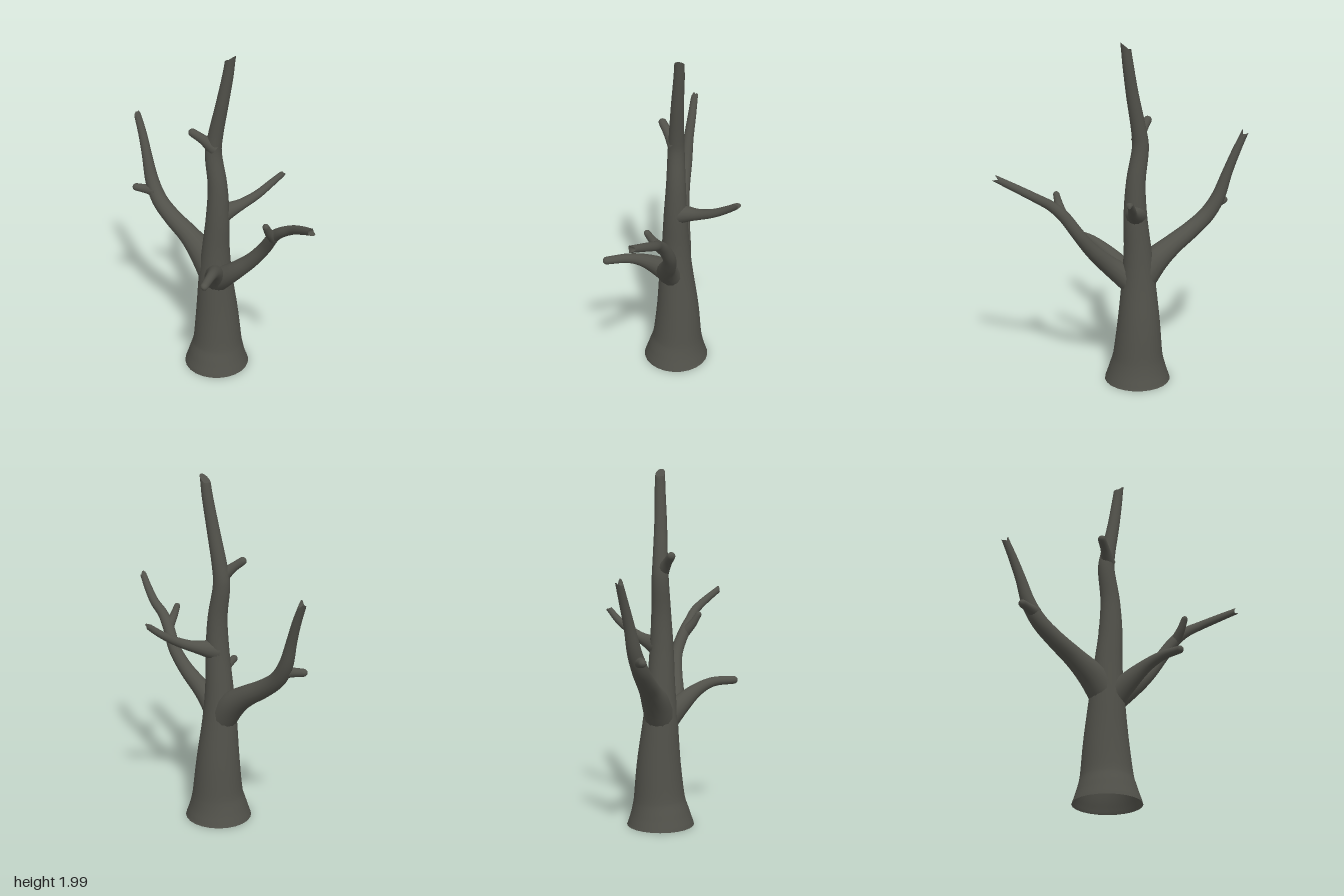
import * as THREE from 'three';

const bark = new THREE.MeshStandardMaterial({ color: 0x51514a, side: THREE.DoubleSide });
bark.name = 'dark bark';

// Tapered limb along a smooth path of [x, y, z, radius] points.
// end: 'round' dome, 'broken' splintered tip, or 'slant' oblique break.
function limb(name, pts, end, sides = 14, perSegment = 5) {
  const curve = new THREE.CatmullRomCurve3(pts.map(p => new THREE.Vector3(p[0], p[1], p[2])));
  const radii = new THREE.CatmullRomCurve3(pts.map((p, i) => new THREE.Vector3(i, p[3], 0)), false, 'catmullrom', 0.5);
  const pos = [], idx = [];
  const steps = (pts.length - 1) * perSegment;
  const N = new THREE.Vector3(), B = new THREE.Vector3(), T = new THREE.Vector3(), v = new THREE.Vector3();
  let rings = 0;

  const heights = {
    round: () => 0,
    broken: a => 0.75 * Math.cos(2 * a + 0.6) + 0.3 * Math.cos(3 * a),
    slant: a => 1.15 * Math.cos(a),
  };
  const ring = (c, r, lift, shape) => {
    for (let k = 0; k < sides; k++) {
      const a = k / sides * Math.PI * 2;
      v.copy(c).addScaledVector(N, r * Math.cos(a)).addScaledVector(B, r * Math.sin(a));
      v.addScaledVector(T, lift + (shape ? shape(a) : 0));
      pos.push(v.x, Math.max(v.y, 0), v.z);
    }
    rings++;
  };

  let c, r;
  for (let i = 0; i <= steps; i++) {
    const t = i / steps;
    c = curve.getPoint(t);
    r = radii.getPoint(t).y;
    T.copy(curve.getTangent(t));
    if (i === 0) {
      if (pts[0][1] === 0) T.set(0, 1, 0);
      N.set(Math.abs(T.x) < 0.8 ? 1 : 0, 0, Math.abs(T.x) < 0.8 ? 0 : 1);
    }
    N.addScaledVector(T, -N.dot(T)).normalize();
    B.crossVectors(T, N);
    ring(c, r, 0, i === steps ? a => r * heights[end](a) : null);
  }
  if (end === 'round') {
    for (let j = 1; j <= 4; j++) {
      const q = j / 4.3 * Math.PI / 2;
      ring(c, r * Math.cos(q), r * Math.sin(q));
    }
  }
  for (let i = 0; i < rings - 1; i++) {
    for (let k = 0; k < sides; k++) {
      const n = (k + 1) % sides, a = i * sides, b = a + sides;
      idx.push(a + k, a + n, b + k, a + n, b + n, b + k);
    }
  }
  // Closing cap on its own vertices, so the break keeps a sharp rim
  const rim = (rings - 1) * sides, cap = pos.length / 3;
  for (let k = 0; k < sides * 3; k++) pos.push(pos[rim * 3 + k]);
  v.copy(c).addScaledVector(T, end === 'round' ? r : end === 'broken' ? -0.6 * r : 0);
  pos.push(v.x, v.y, v.z);
  for (let k = 0; k < sides; k++) idx.push(cap + k, cap + (k + 1) % sides, cap + sides);

  const geo = new THREE.BufferGeometry();
  geo.setAttribute('position', new THREE.Float32BufferAttribute(pos, 3));
  geo.setIndex(idx);
  geo.computeVertexNormals();
  const mesh = new THREE.Mesh(geo, bark);
  mesh.name = name;
  return mesh;
}

export function createModel() {
  const tree = new THREE.Group();
  tree.name = 'bareTree';

  // Trunk, open underneath, flared at the root and broken off at the top
  tree.add(limb('trunk', [
    [-0.07, 0, -0.013, 0.19], [-0.07, 0.06, -0.015, 0.17], [-0.07, 0.15, -0.02, 0.145],
    [-0.074, 0.35, -0.022, 0.124], [-0.076, 0.6, -0.012, 0.098], [-0.07, 0.8, -0.01, 0.079],
    [-0.056, 1.0, -0.01, 0.067], [-0.058, 1.2, -0.012, 0.055], [-0.086, 1.4, -0.01, 0.047],
    [-0.073, 1.5, -0.013, 0.042], [-0.032, 1.7, -0.022, 0.035], [0.0, 1.88, -0.034, 0.03],
    [0.012, 1.965, -0.037, 0.027],
  ], 'slant', 24));

  // Large limb on the right-hand side, with its stub
  tree.add(limb('rightBranch', [
    [-0.085, 0.6, -0.01, 0.085], [-0.17, 0.71, -0.012, 0.078], [-0.28, 0.795, -0.012, 0.06],
    [-0.4, 0.87, -0.005, 0.051], [-0.5, 0.95, -0.005, 0.046], [-0.565, 1.05, -0.015, 0.04],
    [-0.612, 1.19, -0.028, 0.03], [-0.655, 1.31, -0.042, 0.025], [-0.704, 1.425, -0.053, 0.02],
  ], 'broken'));
  tree.add(limb('rightStub', [
    [-0.53, 1.0, -0.005, 0.038], [-0.58, 1.005, 0.02, 0.027], [-0.635, 1.01, 0.048, 0.022],
  ], 'round'));

  // Long limb on the left-hand side, with its stub
  tree.add(limb('leftBranch', [
    [-0.06, 0.58, 0.0, 0.075], [0.02, 0.65, 0.025, 0.064], [0.1, 0.72, 0.025, 0.053],
    [0.2, 0.82, 0.0, 0.042], [0.285, 0.93, -0.013, 0.036], [0.365, 1.045, 0.012, 0.033],
    [0.43, 1.105, 0.03, 0.029], [0.505, 1.152, 0.04, 0.026], [0.6, 1.205, 0.08, 0.023],
    [0.705, 1.26, 0.135, 0.019],
  ], 'broken'));
  tree.add(limb('leftStub', [
    [0.365, 1.04, 0.015, 0.032], [0.37, 1.09, 0.06, 0.024], [0.374, 1.145, 0.095, 0.018],
  ], 'round'));

  // Curved limb at the front
  tree.add(limb('frontBranch', [
    [-0.055, 0.58, 0.005, 0.07], [-0.005, 0.67, 0.075, 0.058], [0.065, 0.757, 0.165, 0.037],
    [0.115, 0.797, 0.245, 0.027], [0.162, 0.805, 0.355, 0.022],
  ], 'round'));

  // Thin limb at the back
  tree.add(limb('backBranch', [
    [-0.055, 1.01, -0.02, 0.065], [-0.02, 1.03, -0.09, 0.043], [0.01, 1.05, -0.15, 0.031],
    [0.05, 1.088, -0.23, 0.025], [0.085, 1.14, -0.31, 0.021], [0.12, 1.19, -0.368, 0.017],
  ], 'broken'));

  // Stub high on the trunk
  tree.add(limb('upperStub', [
    [-0.075, 1.43, -0.005, 0.042], [-0.12, 1.485, 0.038, 0.027], [-0.163, 1.525, 0.073, 0.023],
  ], 'round'));

  return tree;
}
